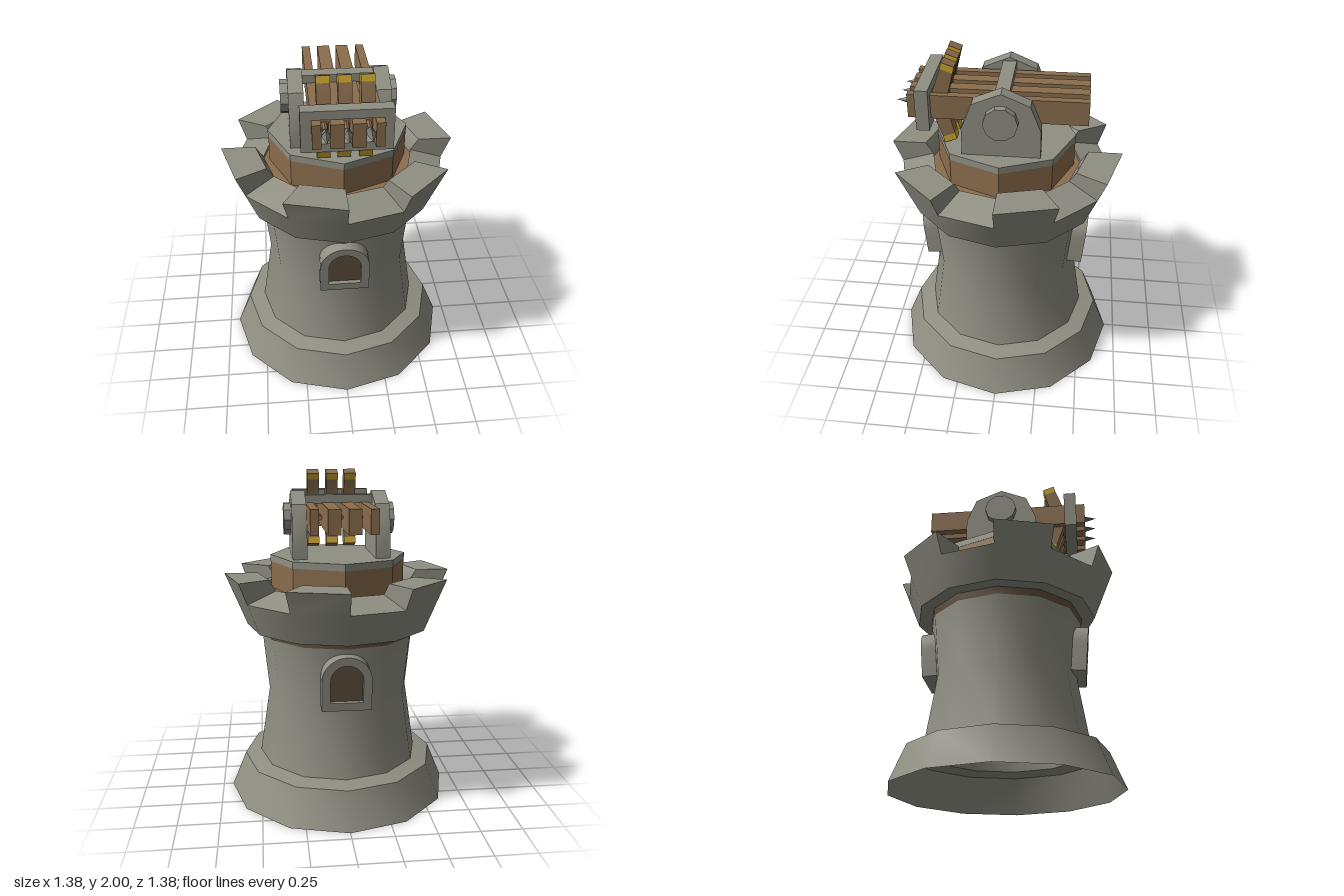
import * as THREE from 'three';
import { toCreasedNormals } from 'three/addons/utils/BufferGeometryUtils.js';

const mat = (name, color, extra = {}) => {
  const m = new THREE.MeshStandardMaterial({ color, ...extra });
  m.name = name;
  return m;
};

export function createModel() {
  const stone = mat('stone', 0x8f8f83, { side: THREE.DoubleSide });
  const wood = mat('wood', 0x8b6d4d);
  const darkWood = mat('darkWood', 0x5f5140);
  const gold = mat('gold', 0xc9a52c);
  const steel = mat('steel', 0x70716b);

  const model = new THREE.Group();
  const add = (name, geometry, material, parent = model) => {
    const mesh = new THREE.Mesh(toCreasedNormals(geometry, 0.6), material);
    mesh.name = name;
    parent.add(mesh);
    return mesh;
  };
  // box given by its minimum and maximum on each axis
  const box = (name, x0, x1, y0, y1, z0, z1, material) =>
    add(name, new THREE.BoxGeometry(x1 - x0, y1 - y0, z1 - z0), material)
      .position.set((x0 + x1) / 2, (y0 + y1) / 2, (z0 + z1) / 2);
  const extrude = (shape, depth) =>
    new THREE.ExtrudeGeometry(shape, { depth, bevelEnabled: false, curveSegments: 8 });
  // outline in (z, y), extruded along x from x0 to x1
  const sidePrism = (name, outline, x0, x1, material) => {
    const shape = new THREE.Shape(outline.map(([z, y]) => new THREE.Vector2(z, y)));
    add(name, extrude(shape, x1 - x0).rotateY(-Math.PI / 2).translate(x1, 0, 0), material);
  };
  const lathe = (points) =>
    new THREE.LatheGeometry(points.map(([r, y]) => new THREE.Vector2(r, y)), 12);

  // Tower shell, hollow and open underneath
  add('base', lathe([[0.69, 0], [0.6, 0.22], [0.5, 0.24]]), stone);
  add('towerBody', lathe([[0.5, 0.24], [0.435, 0.66], [0.475, 1.08]]), stone);
  add('woodBand', lathe([[0.474, 1.035], [0.479, 1.08]]), darkWood);
  add('battlements', battlements(), stone);

  // Walkway and turntable
  const disc = (name, r, y0, y1, sides, material) =>
    add(name, new THREE.CylinderGeometry(r, r, y1 - y0, sides).translate(0, (y0 + y1) / 2, 0), material);
  disc('walkway', 0.446, 1.27, 1.31, 12, wood);
  disc('turntableDrum', 0.408, 1.31, 1.47, 8, wood);
  disc('turntablePlate', 0.41, 1.47, 1.51, 8, stone);

  // Arched windows, front and back, leaning outwards
  const arch = (C, w, y0, top) => {
    const s = new C();
    s.moveTo(-w, y0);
    s.lineTo(w, y0);
    s.lineTo(w, top - w);
    s.absarc(0, top - w, w, 0, Math.PI);
    s.lineTo(-w, y0);
    return s;
  };
  for (const turn of [0, Math.PI]) {
    const side = new THREE.Group();
    side.name = turn ? 'backWindow' : 'frontWindow';
    side.rotation.y = turn;
    const lean = new THREE.Group();
    lean.position.set(0, 0.68, 0.4);
    lean.rotation.x = 0.09;
    const frame = arch(THREE.Shape, 0.145, 0, 0.33);
    frame.holes.push(arch(THREE.Path, 0.095, 0.05, 0.28));
    add('windowFrame', extrude(frame, 0.09), stone, lean);
    add('windowPane', extrude(arch(THREE.Shape, 0.097, 0.048, 0.282), 0.008).translate(0, 0, 0.058), darkWood, lean);
    side.add(lean);
    model.add(side);
  }

  // Cheek plates with round hubs
  const cheek = [[0.22, 1.51], [0.22, 1.67], [0.16, 1.82], [0, 1.888], [-0.16, 1.82], [-0.22, 1.67], [-0.22, 1.51]];
  for (const s of [-1, 1]) {
    sidePrism('cheekPlate', cheek, s > 0 ? 0.2 : -0.285, s > 0 ? 0.285 : -0.2, stone);
    add('hub', new THREE.CylinderGeometry(0.097, 0.097, 0.05, 10)
      .rotateZ(Math.PI / 2).translate(s * 0.303, 1.725, 0), stone);
  }
  box('crossbar', -0.203, 0.203, 1.815, 1.865, -0.04, 0.04, stone);

  // Launcher planks and the frame that holds their front ends
  for (const [x0, x1] of [[-0.178, -0.13], [-0.083, -0.01], [0.03, 0.103], [0.152, 0.2]])
    box('plank', x0, x1, 1.68, 1.82, -0.474, 0.53, wood);
  const rect = (C, x0, x1, y0, y1) =>
    new C([[x0, y0], [x1, y0], [x1, y1], [x0, y1]].map(([x, y]) => new THREE.Vector2(x, y)));
  const holder = rect(THREE.Shape, -0.235, 0.255, 1.63, 1.87);
  holder.holes.push(rect(THREE.Path, -0.178, 0.2, 1.68, 1.82));
  add('frontFrame', extrude(holder, 0.075).translate(0, 0, 0.4), stone);

  // Three bows with gold bands near the tips, and their bolts
  const flip = ([z, y]) => [z, 3.51 - y];
  const arm = [[0.345, 1.962], [0.275, 1.937], [0.305, 1.82]];
  const outer = [0.395, 1.82];
  const bow = [outer, ...arm, ...[...arm].reverse().map(flip), flip(outer)];
  const band = [[0.345, 1.962], [0.336, 1.997], [0.266, 1.972], [0.275, 1.937]];
  const cap = [[0.336, 1.997], [0.335, 2.0], [0.265, 1.975], [0.266, 1.972]];
  for (const x of [-0.106, 0.008, 0.128]) {
    sidePrism('bow', bow, x - 0.037, x + 0.037, wood);
    for (const f of [(p) => p, flip]) {
      sidePrism('bowBand', band.map(f), x - 0.037, x + 0.037, gold);
      sidePrism('bowTip', cap.map(f), x - 0.037, x + 0.037, wood);
    }
    const along = (g, z) => g.rotateX(Math.PI / 2).translate(x, 1.75, z);
    add('boltShaft', along(new THREE.CylinderGeometry(0.017, 0.017, 0.69, 8), 0.125), wood);
    add('boltNeck', along(new THREE.CylinderGeometry(0.027, 0.016, 0.05, 4), 0.49), steel);
    add('boltPoint', along(new THREE.ConeGeometry(0.027, 0.09, 4), 0.557), steel);
  }
  return model;
}

// Flared ring whose twelve segments alternate between merlon and sloping notch
function battlements() {
  const pos = [];
  const point = ([r, y], i) => {
    const a = (i * Math.PI) / 6;
    return [r * Math.cos(a), y, -r * Math.sin(a)];
  };
  const quad = (a, b, c, d) => pos.push(...a, ...b, ...c, ...a, ...c, ...d);
  const notchOut = [0.637, 1.27], notchIn = [0.445, 1.33];
  const topOut = [0.69, 1.4], topIn = [0.49, 1.4];
  for (let i = 0; i < 12; i++) {
    const merlon = i % 2 === 0;
    const profile = [[0.47, 1.08], [0.56, 1.08], notchOut,
      ...(merlon ? [topOut, topIn] : []), notchIn, [0.445, 1.27]];
    for (let k = 0; k + 1 < profile.length; k++) {
      const A = profile[k], B = profile[k + 1];
      quad(point(A, i), point(A, i + 1), point(B, i + 1), point(B, i));
    }
    if (merlon) {
      const end = [notchIn, notchOut, topOut, topIn];
      quad(...end.map((p) => point(p, i)));
      quad(...end.reverse().map((p) => point(p, i + 1)));
    }
  }
  const g = new THREE.BufferGeometry();
  g.setAttribute('position', new THREE.Float32BufferAttribute(pos, 3));
  g.computeVertexNormals();
  return g;
}
